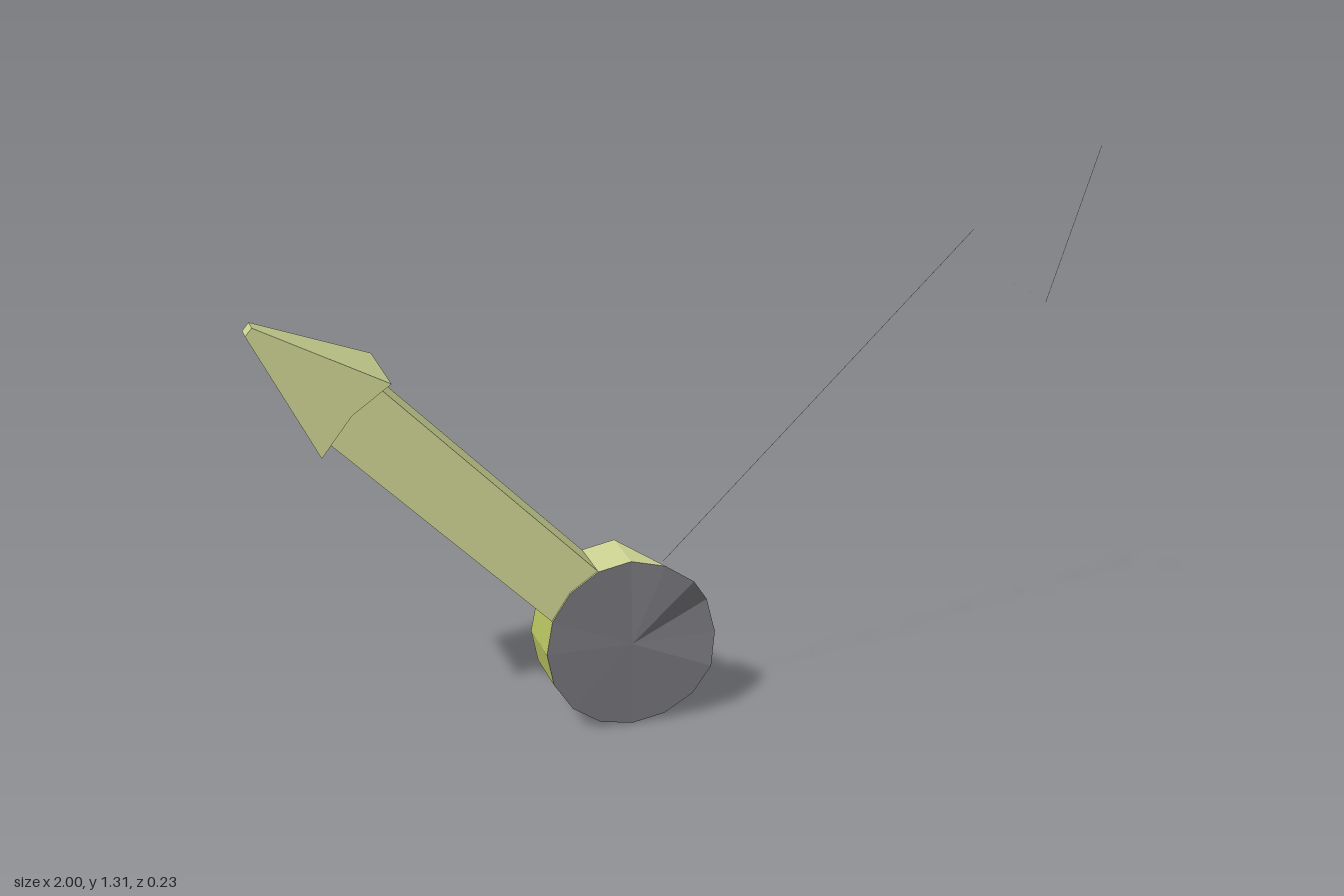
import * as THREE from 'three';

function material(name, color, side = THREE.FrontSide) {
  const m = new THREE.MeshStandardMaterial({ color, side });
  m.name = name;
  return m;
}

// Flat-faced mesh from a list of triangles, each three [x, y, z] corners
function facets(name, triangles, mat) {
  const g = new THREE.BufferGeometry();
  g.setAttribute('position', new THREE.Float32BufferAttribute(triangles.flat(2), 3));
  g.computeVertexNormals();
  const mesh = new THREE.Mesh(g, mat);
  mesh.name = name;
  return mesh;
}

// Prism between z0 and z1; an optional rule moves its vertices
function prism(name, outline, z0, z1, mat, rule) {
  const shape = new THREE.Shape(outline.map(([x, y]) => new THREE.Vector2(x, y)));
  const g = new THREE.ExtrudeGeometry(shape, { depth: z1 - z0, bevelEnabled: false });
  g.translate(0, 0, z0);
  const p = g.attributes.position;
  if (rule) for (let i = 0; i < p.count; i++) p.setZ(i, rule(p.getX(i), p.getZ(i)));
  g.computeVertexNormals();
  const mesh = new THREE.Mesh(g, mat);
  mesh.name = name;
  return mesh;
}

export function createModel() {
  const pale = material('pale olive', 0xcbd291);
  const green = material('moss green', 0xbac562);
  const grey = material('slate grey', 0x737278);
  const thin = material('dark olive thread', 0x8f955f, THREE.DoubleSide);
  const model = new THREE.Group();

  // Hub: sixteen-sided disc with uneven front rim and a quarter cut from its back
  const N = 16, R = 0.206, CX = -0.142, CY = 0.207, BACK = -0.055;
  const frontZ = [0.08, 0.066, 0.106, 0.1, 0.085, 0.085, 0.085, 0.085,
    0.09, 0.09, 0.09, 0.088, 0.086, 0.088, 0.095, 0.1];
  const rim = (i, z) => {
    const a = (i / N) * Math.PI * 2;
    return [CX + R * Math.cos(a), CY + R * Math.sin(a), z];
  };
  const front = i => rim(i % N, frontZ[i % N]);
  // In the cut, the back surface slopes forward to the front rim
  const back = i => (i % N >= 1 && i % N <= 3 ? front(i) : rim(i % N, BACK));
  const cap = [], paleSide = [], greenSide = [];
  for (let i = 0; i < N; i++) {
    cap.push([[CX, CY, 0.09], front(i), front(i + 1)]);
    const body = i >= 7 && i < 13 ? greenSide : paleSide;
    body.push([[CX, CY, BACK], back(i + 1), back(i)]);
    if (i !== 1 && i !== 2 && i !== 3) body.push([front(i), back(i), back(i + 1)]);
    if (i !== 0 && i !== 1 && i !== 2) body.push([front(i), back(i + 1), front(i + 1)]);
  }
  model.add(
    facets('hubFace', cap, grey),
    facets('hubBody', paleSide, pale),
    facets('hubLowerBody', greenSide, green),
  );

  // Arm rising from the hub to the arrowhead
  const a = rim(5, 0), b = rim(7, 0);
  model.add(prism('arm', [a, [-0.71, 0.893], [-0.785, 0.855], [-0.83, 0.78], b], BACK, 0.08, pale));

  // Arrowhead: flat front, its back sloping forward to a narrow tip
  model.add(prism('arrowhead',
    [[-1, 1.05], [-0.85, 0.757], [-0.78, 0.848], [-0.69, 0.912], [-0.985, 1.068]],
    -0.115, 0.112, pale, (x, z) => (x < -0.9 && z < 0 ? 0.07 : z)));

  // Hair-thin outline of the second pointer
  const strips = [];
  const strip = (p, q) => {
    const d = 0.002;
    const p2 = [p[0], p[1], p[2] - d], q2 = [q[0], q[1], q[2] - d];
    strips.push([p, q, q2], [p, q2, p2]);
  };
  strip([-0.07, 0.41, 0.1], [0.68, 1.14, 0.1]);
  strip([0.79, 1.0, 0.096], [0.87, 0.95, 0.104]);
  strip([0.87, 0.95, 0.104], [1, 1.31, 0.088]);
  model.add(facets('pointerOutline', strips, thin));

  return model;
}
